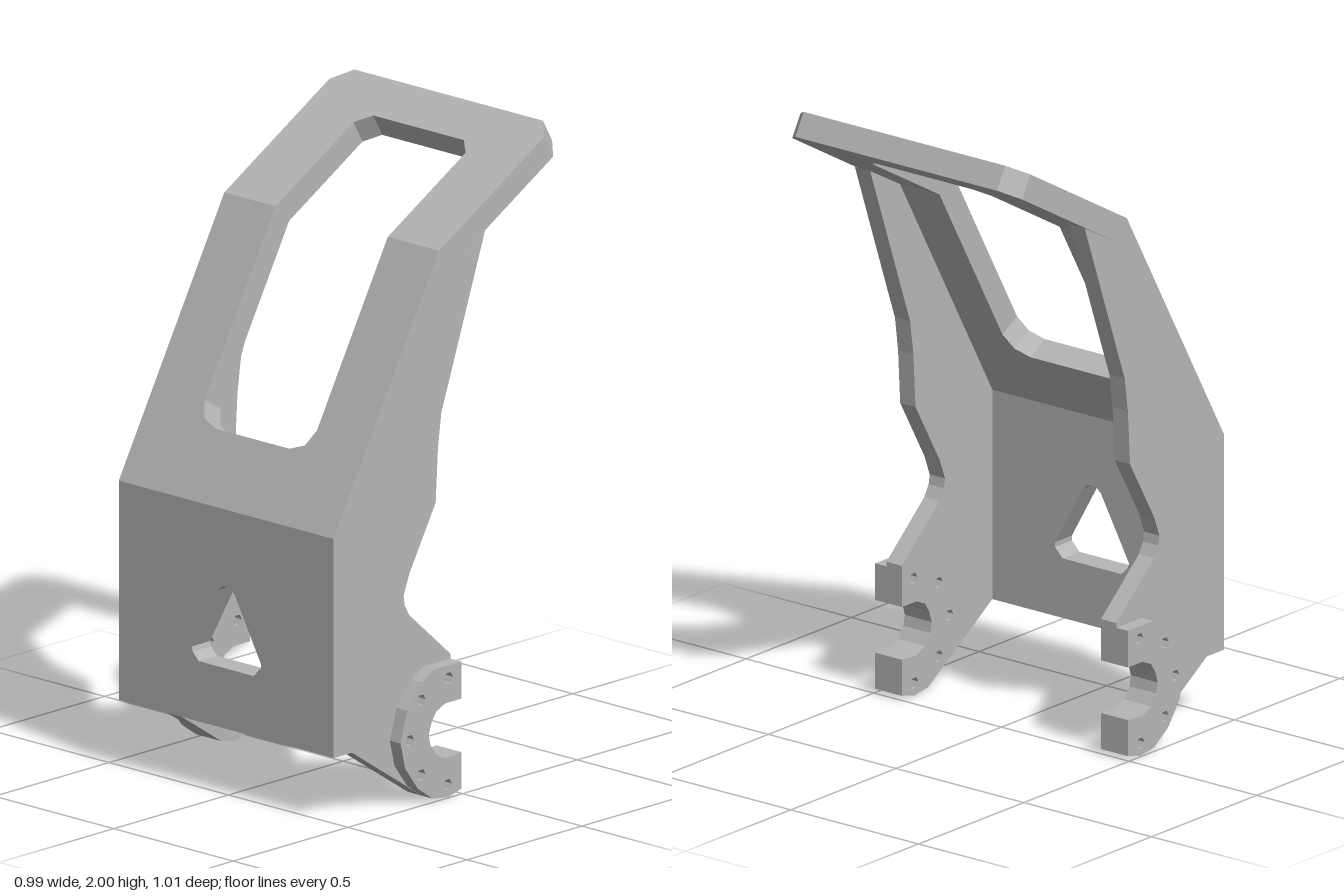
import * as THREE from 'three';

const T = 0.08; // front plate thickness
const HALF = 0.45; // half width of the plate

// Outer line of the bent plate, as (z, y)
const outer = [[0.51, 0.21], [0.51, 0.9], [0.05, 1.71], [-0.46, 2.0]].map(p => new THREE.Vector2(...p));
const dirs = [0, 1, 2].map(i => outer[i + 1].clone().sub(outer[i]).normalize());
const normals = dirs.map(d => new THREE.Vector2(d.y, -d.x));
const lengths = [0, 1, 2].map(i => outer[i].distanceTo(outer[i + 1]));

// Inward offset at each corner, mitred at the two bends
const offsets = outer.map((_, i) => {
  const a = normals[Math.max(i - 1, 0)], b = normals[Math.min(i, 2)];
  return a.clone().add(b).multiplyScalar(-T / (1 + a.dot(b)));
});
const inner = outer.map((p, i) => p.clone().add(offsets[i]));

const toPoints = list => list.map(p => new THREE.Vector2(p[0], p[1]));
const mirrored = half => [...half, ...half.map(([x, y]) => [-x, y]).reverse()];

function extrude(outline, depth, holes = []) {
  const shape = new THREE.Shape(toPoints(outline));
  for (const h of holes) shape.holes.push(new THREE.Path(toPoints(h)));
  return new THREE.ExtrudeGeometry(shape, { depth, bevelEnabled: false });
}

// Lays a flat panel drawn in (x, distance along plate) onto one plate section
function panel(i, outline, holes) {
  const geo = extrude(outline, T, holes);
  const pos = geo.attributes.position;
  for (let k = 0; k < pos.count; k++) {
    const s = pos.getY(k), t = 1 - pos.getZ(k) / T;
    const p = outer[i].clone().addScaledVector(dirs[i], s);
    if (s < 1e-4) p.addScaledVector(offsets[i], t);
    else if (s > lengths[i] - 1e-4) p.addScaledVector(offsets[i + 1], t);
    else p.addScaledVector(normals[i], -T * t);
    pos.setXYZ(k, pos.getX(k), p.y, p.x);
  }
  geo.computeVertexNormals();
  return geo;
}

// Extrudes a (z, y) profile sideways between two x positions
function sidePlate(outline, xMin, xMax, holes) {
  return extrude(outline, xMax - xMin, holes).rotateY(-Math.PI / 2).translate(xMax, 0, 0);
}

export function createModel() {
  const group = new THREE.Group();
  const metal = new THREE.MeshStandardMaterial({ color: 0xb6b6b6 });
  metal.name = 'greyMetal';
  const add = (name, geo) => {
    const mesh = new THREE.Mesh(geo, metal);
    mesh.name = name;
    group.add(mesh);
  };
  const [L0, L1, L2] = lengths;

  // Lower panel with a rounded triangular cutout
  const triangle = [[-0.145, 0.23], [-0.14, 0.215], [-0.115, 0.19], [0.115, 0.19], [0.145, 0.22],
    [0.145, 0.235], [0.035, 0.43], [0.015, 0.447], [-0.015, 0.447], [-0.035, 0.43]];
  add('lowerPanel', panel(0, mirrored([[HALF, 0], [HALF, L0]]), [triangle]));

  // Middle panel: lower part of the window
  add('middlePanel', panel(1, mirrored([[HALF, 0], [HALF, L1], [0.235, L1],
    [0.235, 0.305], [0.21, 0.252], [0.155, 0.23]])
    .slice(0, 6).concat(mirrored([[HALF, 0], [HALF, L1], [0.235, L1],
      [0.235, 0.305], [0.21, 0.252], [0.155, 0.23]]).slice(6))));

  // Top panel: upper part of the window and clipped outer corners
  add('topPanel', panel(2, mirrored([[0.19, 0.435], [0.235, 0.39], [0.235, 0],
    [HALF, 0], [HALF, L2 - 0.06], [0.395, L2]])));

  // Open ring at the foot, with bolt holes
  const slot = [[0, 0.13], [0.07, 0.125], [0.11, 0.145], [0.135, 0.18], [0.142, 0.213],
    [0.13, 0.25], [0.11, 0.28], [0.07, 0.298], [0, 0.298]];
  const boltHoles = [[0.055, 0.375], [0.175, 0.33], [0.225, 0.213], [0.175, 0.095], [0.06, 0.04]]
    .map(([z, y]) => Array.from({ length: 6 }, (_, i) =>
      [z + 0.019 * Math.cos(i * Math.PI / 3), y + 0.019 * Math.sin(i * Math.PI / 3)]));
  const ring = [...slot, [0, 0.415], [0.12, 0.415], [0.17, 0.385], [0.235, 0.31], [0.265, 0.213],
    [0.245, 0.13], [0.19, 0.055], [0.125, 0.01], [0.06, 0], [0, 0.015]];

  // Side wall: back edge, then down the inside of the front plate
  const wall = [...slot, [0, 0.43], [0.18, 0.59], [0.2, 0.625], [0.205, 0.655], [0.18, 0.72],
    [0.065, 0.92], [0.055, 1.09], [0.04, 1.2], [0, 1.31], [-0.15, 1.73],
    [inner[2].x, inner[2].y], [inner[1].x, inner[1].y], [inner[0].x, inner[0].y],
    [0.125, 0.01], [0.06, 0], [0, 0.015]];

  for (const [side, wx, rx] of [['left', 0.39, 0.45], ['right', -0.45, -0.495]]) {
    add(side + 'Wall', sidePlate(wall, wx, wx + 0.06, boltHoles));
    add(side + 'MountRing', sidePlate(ring, rx, rx + 0.045, boltHoles));
  }
  return group;
}
